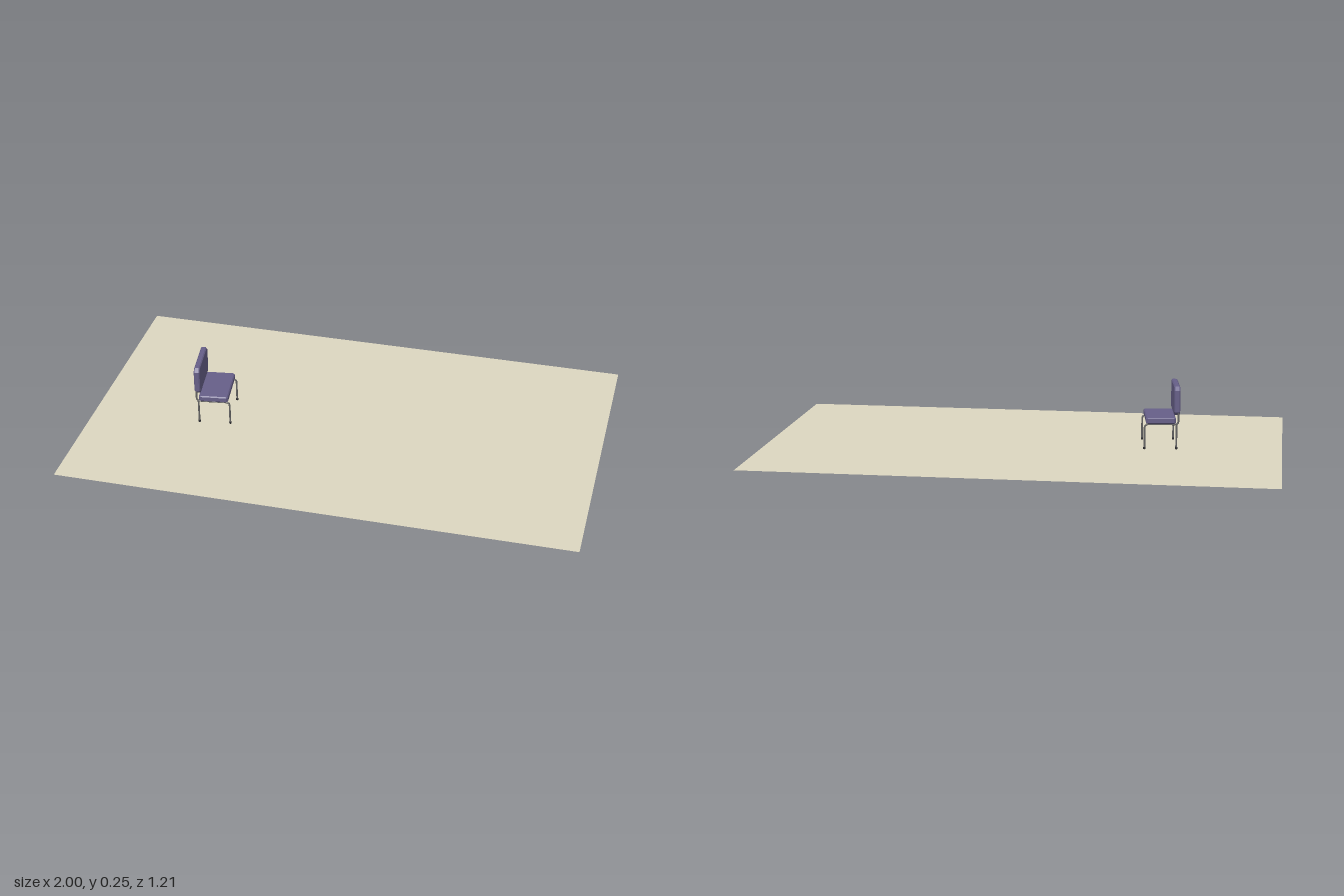
import * as THREE from 'three';

const material = (color, extra = {}) => new THREE.MeshStandardMaterial({ color, ...extra });

// Cushion outline (w by h) with cut corners, extruded to thickness t and centred
function cushionGeometry(w, h, t, cut) {
  const bevel = 0.004;
  const a = w / 2 - bevel, b = h / 2 - bevel;
  const shape = new THREE.Shape([
    [a - cut, -b], [a, -b + cut], [a, b - cut], [a - cut, b],
    [-a + cut, b], [-a, b - cut], [-a, -b + cut], [-a + cut, -b],
  ].map(([x, y]) => new THREE.Vector2(x, y)));
  const geo = new THREE.ExtrudeGeometry(shape, {
    depth: t - 2 * bevel, bevelEnabled: true, bevelSize: bevel, bevelThickness: bevel, bevelSegments: 1,
  });
  return geo.translate(0, 0, -t / 2 + bevel);
}

// Straight tube runs joined by rounded bends
function bentTube(points, bend, radius) {
  const p = points.map(([x, y]) => new THREE.Vector3(x, y, 0));
  const path = new THREE.CurvePath();
  let start = p[0];
  for (let i = 1; i < p.length - 1; i++) {
    const before = p[i].clone().add(p[i - 1].clone().sub(p[i]).setLength(bend));
    const after = p[i].clone().add(p[i + 1].clone().sub(p[i]).setLength(bend));
    path.add(new THREE.LineCurve3(start, before));
    path.add(new THREE.QuadraticBezierCurve3(before, p[i], after));
    start = after;
  }
  path.add(new THREE.LineCurve3(start, p[p.length - 1]));
  return new THREE.TubeGeometry(path, 64, radius, 8, false);
}

export function createModel() {
  const model = new THREE.Group();
  const fabric = material(0x665f88, { flatShading: true });
  const metal = material(0x666666);
  const rubber = material(0x2c2c30);

  const add = (parent, name, geo, mat, x = 0, y = 0, z = 0) => {
    const mesh = new THREE.Mesh(geo, mat);
    mesh.name = name;
    mesh.position.set(x, y, z);
    parent.add(mesh);
    return mesh;
  };

  // Floor sheet
  add(model, 'floor', new THREE.PlaneGeometry(2, 1.212).rotateX(-Math.PI / 2),
    material(0xdcd7c0, { side: THREE.DoubleSide }));

  // Chair, facing +x before its slight turn
  const chair = new THREE.Group();
  chair.name = 'chair';
  chair.position.set(-0.523, 0, 0.039);
  chair.rotation.y = 0.13;
  model.add(chair);

  add(chair, 'seat', cushionGeometry(0.115, 0.184, 0.024, 0.004).rotateX(-Math.PI / 2),
    fabric, 0, 0.112, 0);
  add(chair, 'backrest', cushionGeometry(0.185, 0.113, 0.023, 0.012).rotateY(Math.PI / 2),
    fabric, -0.0615, 0.189, 0);

  // Tubular frame: front leg, seat rail and back upright in one piece, plus rear leg
  const r = 0.0036;
  for (const side of [-1, 1]) {
    const label = side > 0 ? 'Left' : 'Right';
    const z = side * 0.085;
    add(chair, 'sideFrame' + label,
      bentTube([[0.063, 0], [0.063, 0.098], [-0.067, 0.098], [-0.067, 0.16]], 0.014, r), metal, 0, 0, z);
    add(chair, 'rearLeg' + label, new THREE.CylinderGeometry(r, r, 0.098, 8), metal, -0.06, 0.049, z);
    for (const [name, x] of [['frontFoot', 0.063], ['rearFoot', -0.06]])
      add(chair, name + label, new THREE.CylinderGeometry(0.0045, 0.0045, 0.008, 8), rubber, x, 0.004, z);
  }

  // Cross rails under the seat
  for (const x of [-0.04, 0.035])
    add(chair, 'crossRail', new THREE.CylinderGeometry(r, r, 0.17, 8).rotateX(Math.PI / 2), metal, x, 0.098, 0);

  return model;
}
